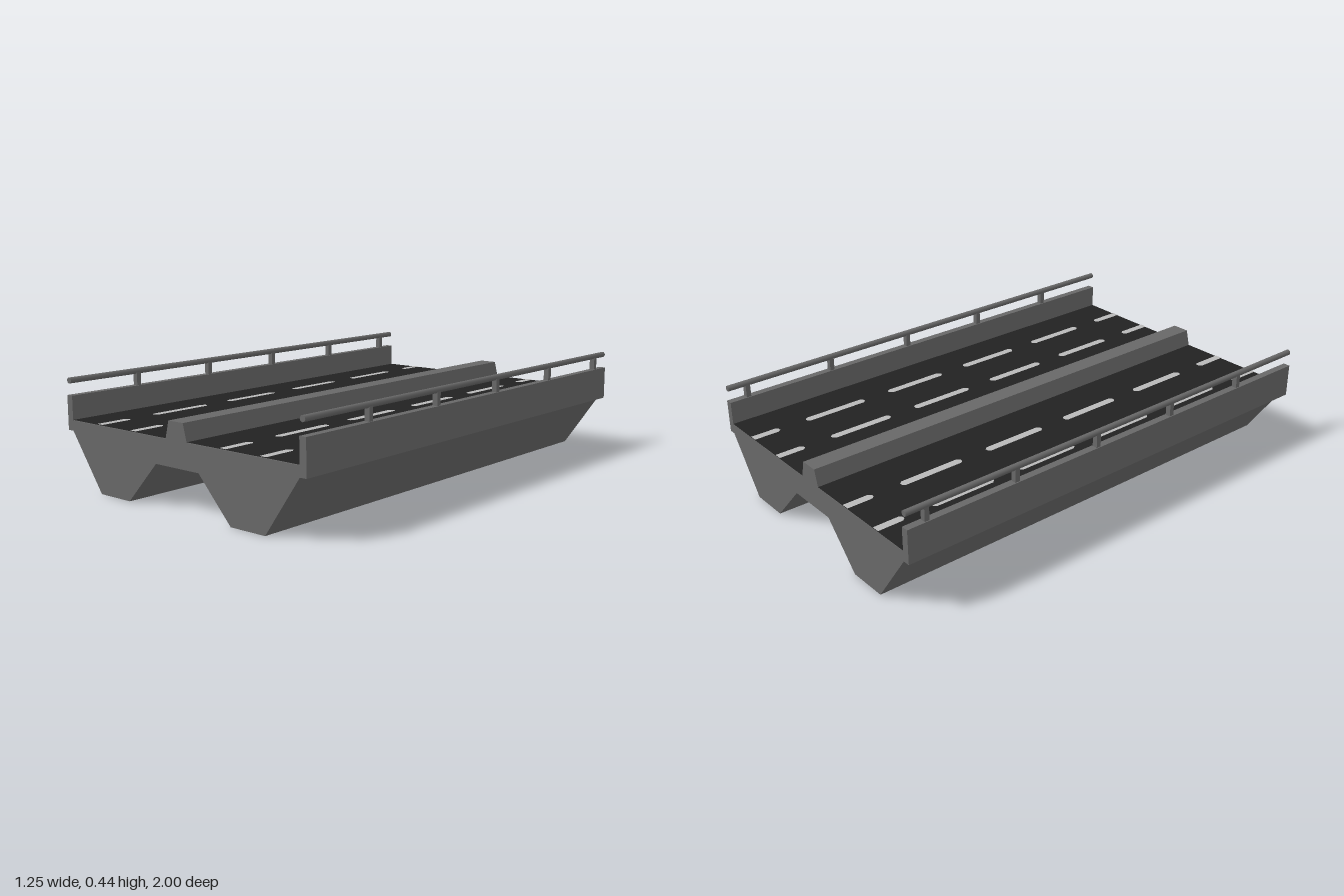
import * as THREE from 'three';

const LENGTH = 2;
const concrete = new THREE.MeshStandardMaterial({ color: 0x686868 });
concrete.name = 'concrete grey';
const asphalt = new THREE.MeshStandardMaterial({ color: 0x222222 });
asphalt.name = 'asphalt black';
const paint = new THREE.MeshStandardMaterial({ color: 0xb8b8b8 });
paint.name = 'lane paint';

function add(parent, name, geometry, material, x = 0, y = 0, z = 0) {
  const mesh = new THREE.Mesh(geometry, material);
  mesh.name = name;
  mesh.position.set(x, y, z);
  parent.add(mesh);
  return mesh;
}

// Cross-section in x/y, run along the whole span
function span(points) {
  const shape = new THREE.Shape(points.map(([x, y]) => new THREE.Vector2(x, y)));
  return new THREE.ExtrudeGeometry(shape, { depth: LENGTH, bevelEnabled: false })
    .translate(0, 0, -LENGTH / 2);
}

// Flat outline facing up
function flat(points) {
  const shape = new THREE.Shape(points.map(([x, z]) => new THREE.Vector2(x, -z)));
  return new THREE.ShapeGeometry(shape).rotateX(-Math.PI / 2);
}

// Lane dash with chamfered tips, trimmed at the ends of the span
function dash(centre) {
  const w = 0.016, tip = 0.006, c = 0.012;
  const z0 = centre - 0.14, z1 = centre + 0.14;
  const a = Math.max(z0, -1), b = Math.min(z1, 1);
  const back = z0 < -1 ? [[w, a], [-w, a]] : [[w, a + c], [tip, a], [-tip, a], [-w, a + c]];
  const front = z1 > 1 ? [[-w, b], [w, b]] : [[-w, b - c], [-tip, b], [tip, b], [w, b - c]];
  return flat([...back, ...front]);
}

export function createModel() {
  const bridge = new THREE.Group();
  bridge.name = 'highwayBridgeSection';

  // Deck with two trapezoid girders underneath
  const half = [[0.113, 0.167], [0.27, 0], [0.435, 0], [0.596, 0.227], [0.596, 0.268]];
  const mirrored = half.map(([x, y]) => [-x, y]).reverse();
  add(bridge, 'deckGirders', span([...mirrored, ...half]), concrete);

  // Tapered barrier between the carriageways
  add(bridge, 'medianBarrier',
    span([[-0.056, 0.267], [0.056, 0.267], [0.038, 0.337], [-0.038, 0.337]]), concrete);

  for (const side of [-1, 1]) {
    const label = side > 0 ? 'left' : 'right';

    // Road surface and its dashed lane lines
    add(bridge, label + 'Roadway', new THREE.PlaneGeometry(0.541, LENGTH).rotateX(-Math.PI / 2),
      asphalt, side * 0.3255, 0.27);
    const lines = new THREE.Group();
    lines.name = label + 'LaneLines';
    bridge.add(lines);
    for (const x of [0.238, 0.43]) {
      for (let i = 0; i < 6; i++) {
        add(lines, 'laneDash', dash(-1.022 + i * 0.404), paint, side * x, 0.273);
      }
    }

    // Side parapet with a round handrail on posts
    add(bridge, label + 'Parapet', new THREE.BoxGeometry(0.03, 0.138, LENGTH),
      concrete, side * 0.61, 0.296);
    const railing = new THREE.Group();
    railing.name = label + 'Railing';
    bridge.add(railing);
    add(railing, 'handrail',
      new THREE.CylinderGeometry(0.012, 0.012, LENGTH, 12).rotateX(Math.PI / 2),
      concrete, side * 0.61, 0.423);
    for (let i = 0; i < 5; i++) {
      add(railing, 'railPost', new THREE.BoxGeometry(0.022, 0.06, 0.02),
        concrete, side * 0.61, 0.392, 0.665 - i * 0.395);
    }
  }
  return bridge;
}
